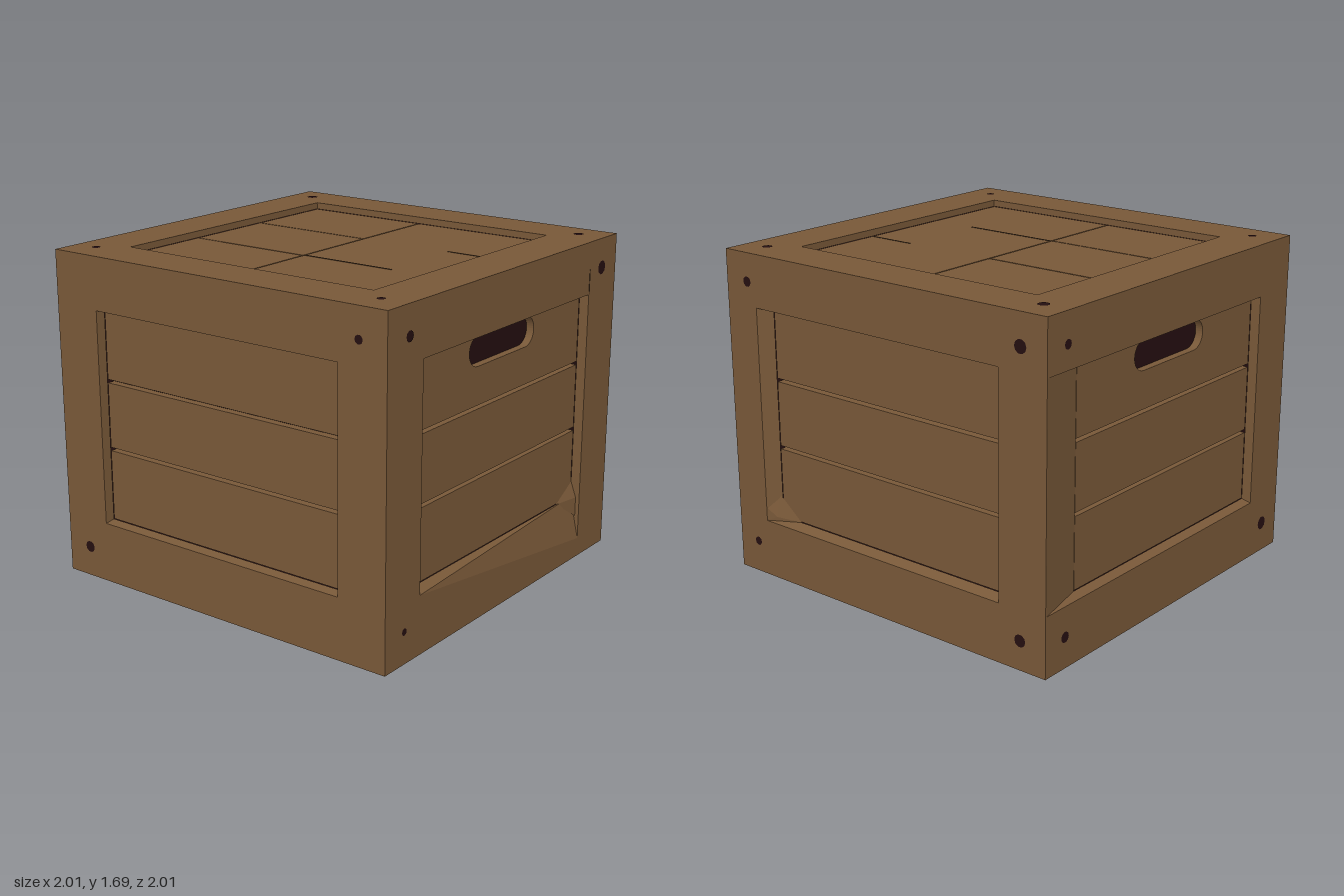
import * as THREE from 'three';

const W = 1, H = 1.69;            // half width and height of the crate
const DEPTH = 0.05, THICK = 0.04; // panel recess and board thickness

export function createModel() {
  const wood = new THREE.MeshStandardMaterial({ color: 0x785838 });
  wood.name = 'wood';
  const dark = new THREE.MeshStandardMaterial({ color: 0x240e10 });
  dark.name = 'dark hollow';
  const groove = new THREE.MeshStandardMaterial({ color: 0x432f1e });
  groove.name = 'groove';

  const crate = new THREE.Group();
  crate.name = 'crate';

  const add = (parent, name, geo, mat, x = 0, y = 0, z = 0) => {
    const m = new THREE.Mesh(geo, mat);
    m.name = name;
    m.position.set(x, y, z);
    parent.add(m);
    return m;
  };
  const rect = (x0, y0, x1, y1) => [[x0, y0], [x1, y0], [x1, y1], [x0, y1]];
  const toShape = (pts, Type) => new Type(pts.map(p => new THREE.Vector2(...p)));

  const triangles = (pts) => {
    const g = new THREE.BufferGeometry();
    g.setAttribute('position', new THREE.Float32BufferAttribute(pts.flat(), 3));
    g.computeVertexNormals();
    return g;
  };

  // Flat border around an opening, with walls running in to the recessed boards
  const frame = (face, outline, outer, inner, depth) => {
    const shape = toShape(outline, THREE.Shape);
    shape.holes.push(toShape(outer, THREE.Path));
    add(face, 'frameBorder', new THREE.ShapeGeometry(shape), wood);
    const tris = [];
    for (let i = 0; i < 4; i++) {
      const j = (i + 1) % 4;
      const a = [...outer[i], 0], b = [...outer[j], 0];
      const c = [...inner[j], -depth], d = [...inner[i], -depth];
      tris.push(a, b, c, a, c, d);
    }
    add(face, 'frameWalls', triangles(tris), wood);
  };

  const board = (face, name, x0, y0, x1, y1, depth) =>
    add(face, name, new THREE.BoxGeometry(x1 - x0, y1 - y0, THICK), wood,
      (x0 + x1) / 2, (y0 + y1) / 2, -depth - THICK / 2);

  // Top board with a rounded grip slot
  const gripBoard = (face, x0, y0, x1, y1) => {
    const shape = toShape(rect(x0, y0, x1, y1), THREE.Shape);
    const slot = new THREE.Path(), r = 0.076, cx = 0.21, cy = 1.331;
    slot.absarc(cx, cy, r, -Math.PI / 2, Math.PI / 2, false);
    slot.absarc(-cx, cy, r, Math.PI / 2, Math.PI * 1.5, false);
    shape.holes.push(slot);
    const geo = new THREE.ExtrudeGeometry(shape, { depth: THICK, bevelEnabled: false, curveSegments: 10 });
    add(face, 'gripBoard', geo, wood, 0, 0, -DEPTH - THICK);
  };

  const strip = (face, name, x0, y0, x1, y1, z) =>
    add(face, name, new THREE.BoxGeometry(x1 - x0, y1 - y0, 0.004), groove,
      (x0 + x1) / 2, (y0 + y1) / 2, z);

  const nail = (face, x, y, r) =>
    add(face, 'nailHole', new THREE.CircleGeometry(r, 10), dark, x, y, 0.003);

  // Upright faces: outer opening, grip slot and nail holes [u, v, radius]
  const inner = rect(-0.73, 0.325, 0.73, 1.42);
  const sides = [
    { name: 'frontSide', grip: true,
      outer: [[-0.73, 0.3], [0.733, 0.1], [0.733, 1.42], [-0.73, 1.42]],
      nails: [[-0.84, 1.545, 0.027], [0.85, 1.54, 0.036], [-0.855, 0.165, 0.018]] },
    { name: 'leftSide',
      outer: rect(-0.8, 0.3, 0.73, 1.42),
      nails: [[-0.855, 1.545, 0.026], [0.855, 1.535, 0.034], [-0.87, 0.17, 0.023], [0.855, 0.15, 0.032]] },
    { name: 'backSide', grip: true,
      outer: rect(-0.995, 0.31, 0.735, 1.42),
      nails: [[-0.86, 1.54, 0.024], [-0.86, 0.16, 0.028], [0.855, 0.16, 0.036]] },
    { name: 'rightSide',
      outer: rect(-0.735, 0.315, 0.735, 1.42),
      nails: [[0.85, 1.54, 0.022], [-0.855, 0.16, 0.03]] },
  ];
  const faces = sides.map((s, i) => {
    const face = new THREE.Group();
    face.name = s.name;
    const angle = i * Math.PI / 2;
    face.rotation.y = angle;
    face.position.set(Math.sin(angle) * W, 0, Math.cos(angle) * W);
    crate.add(face);
    frame(face, rect(-W, 0, W, H), s.outer, inner, DEPTH);
    board(face, 'lowerBoard', -0.727, 0.328, 0.727, 0.692, DEPTH);
    board(face, 'middleBoard', -0.727, 0.71, 0.727, 1.046, DEPTH);
    if (s.grip) gripBoard(face, -0.727, 1.064, 0.727, 1.416);
    else board(face, 'upperBoard', -0.727, 1.064, 0.727, 1.416, DEPTH);
    s.nails.forEach(n => nail(face, ...n));
    return face;
  });

  // Chipped corner wedges and a crack in the front post
  const [front, left] = faces;
  add(front, 'cornerWedge', triangles([
    [0.58, 0.325, -DEPTH], [0.733, 0.325, -0.02], [0.733, 0.41, -DEPTH],
    [0.58, 0.325, -DEPTH], [0.733, 0.22, -0.02], [0.733, 0.325, -0.02],
  ]), wood);
  add(left, 'cornerWedge', triangles([
    [-0.8, 0.37, -0.002], [-0.74, 0.33, -0.015], [-0.75, 0.45, -0.045],
    [-0.75, 0.45, -0.045], [-0.74, 0.33, -0.015], [-0.6, 0.325, -DEPTH],
    [-0.8, 0.37, -0.002], [-0.8, 0.3, -0.002], [-0.74, 0.33, -0.015],
    [-0.74, 0.33, -0.015], [-0.8, 0.3, -0.002], [-0.6, 0.325, -DEPTH],
  ]), wood);
  strip(front, 'postCrack', 0.733, 1.42, 0.738, 1.55, 0);

  // Lid and base: framed floor of boards, the front row being one cracked panel
  for (const top of [true, false]) {
    const face = new THREE.Group();
    face.name = top ? 'lid' : 'base';
    face.rotation.x = top ? -Math.PI / 2 : Math.PI / 2;
    face.position.y = top ? H : 0;
    crate.add(face);
    const d = 0.035, o = rect(-0.742, -0.738, 0.742, 0.742);
    frame(face, rect(-W, -W, W, W), o, o, d);
    const cuts = [-0.738, -0.252, 0.244, 0.744];
    for (let i = 0; i < 3; i++) board(face, 'backBoard', cuts[i], 0.05, cuts[i + 1] - 0.007, 0.738, d);
    board(face, 'frontBoard', -0.738, -0.734, 0.738, 0.043, d);
    strip(face, 'boardCrack', -0.252, -0.48, -0.245, 0.043, -d);
    strip(face, 'boardCrack', 0.241, -0.734, 0.246, -0.47, -d);
    if (top) {
      nail(face, -0.855, 0.865, 0.022);
      nail(face, 0.855, 0.865, 0.029);
      nail(face, -0.855, -0.86, 0.021);
      nail(face, 0.855, -0.86, 0.026);
    }
  }

  // Dark hollow seen through the gaps and grip slots
  add(crate, 'hollowInside', new THREE.BoxGeometry(1.82, H - 0.15, 1.82), dark, 0, H / 2, 0);

  return crate;
}
